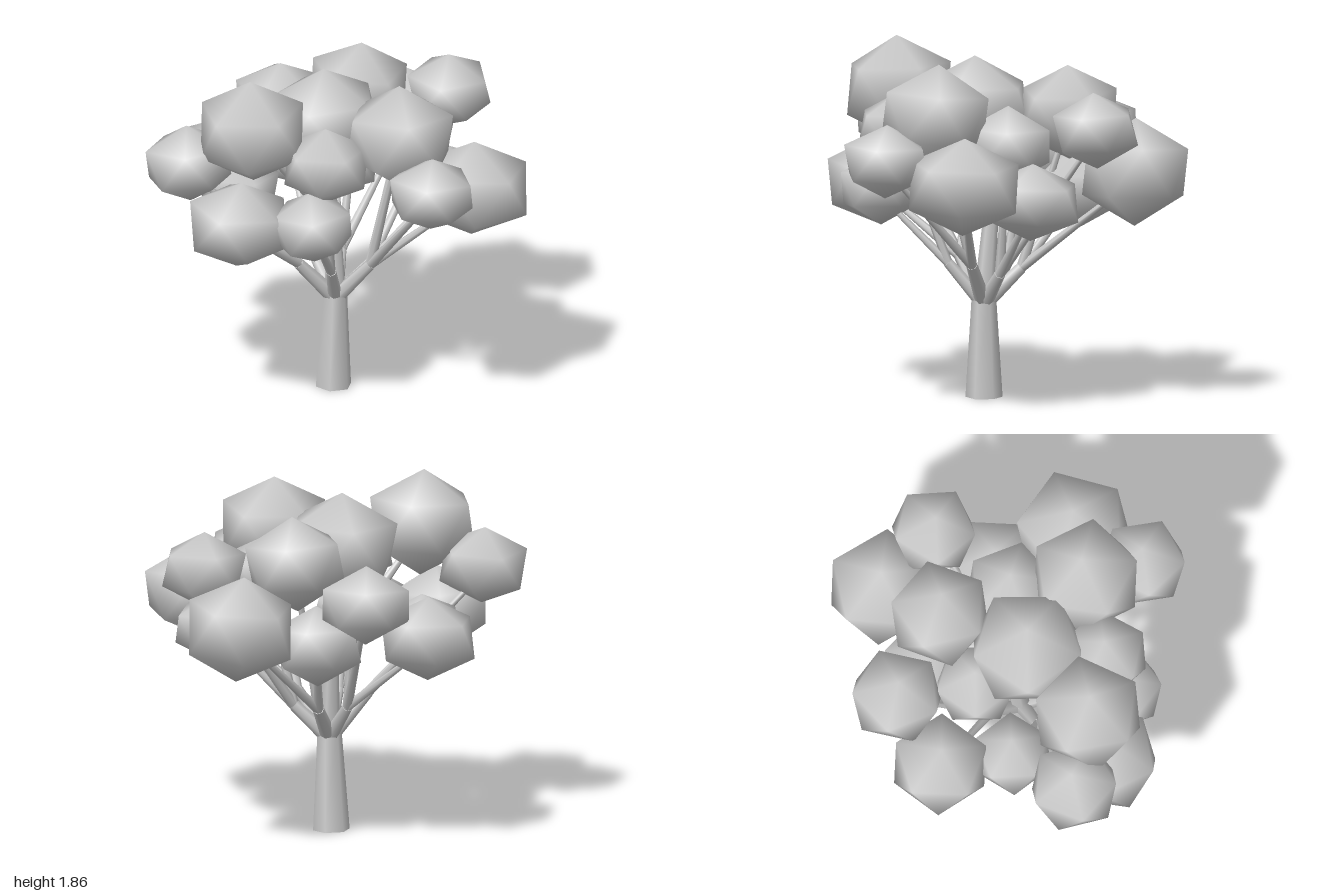
import * as THREE from 'three';

// Leaf clumps: centre x, y, z, side radius and half height
const clumps = {
  topLeft: [-0.615, 1.575, -0.125, 0.27, 0.28],
  topCentre: [-0.12, 1.51, -0.055, 0.285, 0.28],
  topFront: [-0.08, 1.53, 0.435, 0.272, 0.275],
  topRight: [0.345, 1.505, -0.225, 0.25, 0.25],
  highRight: [0.69, 1.47, 0.1, 0.212, 0.2],
  farRight: [0.735, 1.215, -0.24, 0.272, 0.282],
  lowFront: [0.225, 1.21, 0.67, 0.285, 0.257],
  smallFront: [-0.195, 1.325, 0.75, 0.216, 0.194],
  lowBack: [-0.13, 1.125, -0.735, 0.24, 0.22],
  highBack: [0.24, 1.345, -0.67, 0.23, 0.208],
  backLeft: [-0.785, 1.37, -0.415, 0.22, 0.205],
  smallBackLeft: [-0.36, 1.1, -0.43, 0.195, 0.18],
  lowLeft: [-0.735, 1.09, -0.11, 0.255, 0.237],
  lowFrontLeft: [-0.53, 1.1, 0.22, 0.205, 0.193],
  highFrontLeft: [-0.415, 1.41, 0.215, 0.215, 0.205],
  lowFrontRight: [0.41, 1.095, 0.28, 0.243, 0.203],
  innerRight: [0.2, 1.365, 0.165, 0.225, 0.21],
  lowBackRight: [0.31, 1.085, -0.36, 0.223, 0.212],
  innerBack: [0.015, 1.22, -0.305, 0.205, 0.19],
};

// Limbs: fork point, thickness there, and the clumps they carry
const limbs = [
  { node: [-0.25, 0.72, -0.12], r: 0.03, to: ['lowLeft', 'backLeft', 'smallBackLeft'] },
  { node: [-0.21, 0.71, 0.07], r: 0.027, to: ['lowFrontLeft', 'highFrontLeft'] },
  { node: [-0.01, 0.72, 0.17], r: 0.03, to: ['lowFront', 'smallFront', 'topFront'] },
  { node: [0.1, 0.67, 0.07], r: 0.03, to: ['lowFrontRight', 'innerRight', 'highRight'] },
  { node: [0.11, 0.68, -0.14], r: 0.03, to: ['farRight', 'lowBackRight', 'topRight'] },
  { node: [-0.02, 0.69, -0.22], r: 0.03, to: ['lowBack', 'highBack', 'innerBack'] },
  { node: [-0.035, 0.93, -0.07], r: 0.04, to: ['topLeft', 'topCentre'] },
];

export function createModel() {
  const tree = new THREE.Group();
  tree.name = 'tree';
  const grey = new THREE.MeshStandardMaterial({ color: 0xcccccc });
  grey.name = 'plain grey';

  const addMesh = (geometry, name, parent) => {
    const mesh = new THREE.Mesh(geometry, grey);
    mesh.name = name;
    parent.add(mesh);
    return mesh;
  };

  // Tapered six-sided rod between two points
  const up = new THREE.Vector3(0, 1, 0);
  const addRod = (a, b, r0, r1, name, parent) => {
    const start = new THREE.Vector3(...a), end = new THREE.Vector3(...b);
    const dir = end.clone().sub(start);
    const rod = addMesh(new THREE.CylinderGeometry(r1, r0, dir.length(), 6), name, parent);
    rod.position.copy(start).add(end).multiplyScalar(0.5);
    rod.quaternion.setFromUnitVectors(up, dir.normalize());
  };

  // Trunk
  const fork = [-0.055, 0.56, -0.035];
  addRod([-0.06, 0, -0.045], fork, 0.097, 0.062, 'trunk', tree);

  // Limbs rise from the trunk and split into branches
  const branches = new THREE.Group();
  branches.name = 'branches';
  tree.add(branches);
  for (const { node, r, to } of limbs) {
    addRod([fork[0], 0.49, fork[2]], node, r * 1.45, r, 'limb', branches);
    for (const key of to) {
      const [x, y, z] = clumps[key];
      addRod(node, [x, y - 0.04, z], r * 0.9, 0.012, 'branch', branches);
    }
  }

  // Smooth-shaded icosahedron with a corner pointing up
  const leaf = new THREE.IcosahedronGeometry(1, 0);
  leaf.rotateZ(Math.atan(2 / (1 + Math.sqrt(5))));
  leaf.setAttribute('normal', leaf.attributes.position.clone());

  // Foliage, each clump slightly squashed, turned and tipped
  const foliage = new THREE.Group();
  foliage.name = 'foliage';
  tree.add(foliage);
  Object.entries(clumps).forEach(([name, [x, y, z, side, half]], i) => {
    const clump = addMesh(leaf, name + 'Clump', foliage);
    clump.position.set(x, y, z);
    clump.scale.set(side / 0.87, half, side / 0.87);
    clump.rotation.set(0.05 * Math.sin(i * 2.3), i * 1.7, 0.05 * Math.cos(i * 3.1));
  });

  return tree;
}
